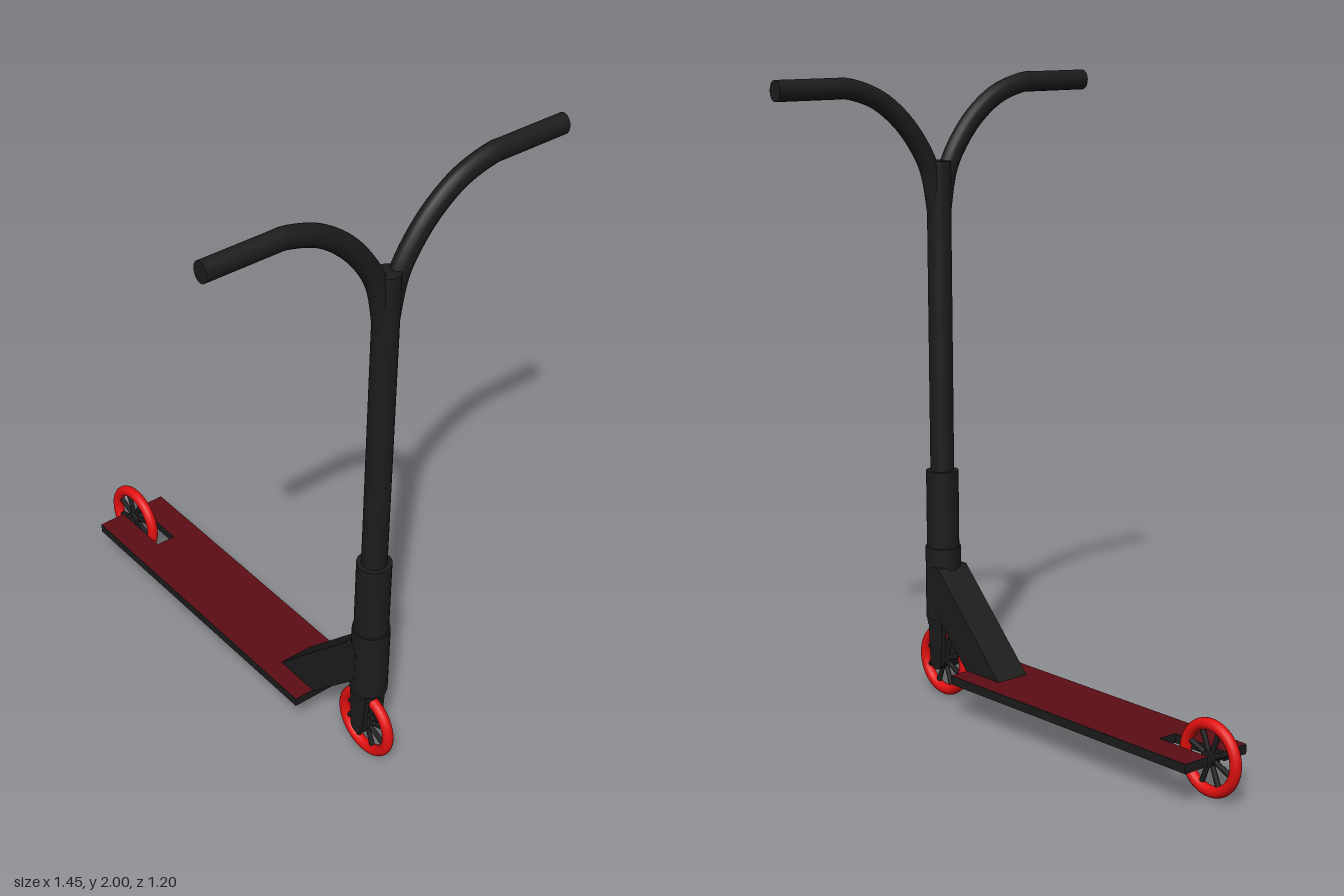
import * as THREE from 'three';

const mat = (color, side = THREE.FrontSide) => {
  const m = new THREE.MeshStandardMaterial({ side });
  m.color.set(color);
  return m;
};
const black = mat(0x1c1c1c);
const red = mat(0xe01010);
const darkRed = mat(0x5c0d13, THREE.DoubleSide);

const STEM_X = 0.61, WHEEL_X = 0.607, WHEEL_Y = 0.118;

function add(parent, name, geometry, material, x = 0, y = 0, z = 0) {
  const mesh = new THREE.Mesh(geometry, material);
  mesh.name = name;
  mesh.position.set(x, y, z);
  parent.add(mesh);
  return mesh;
}

const polygon = (points) => new THREE.Shape(points.map(([x, y]) => new THREE.Vector2(x, y)));

// Upright cylinder between two heights on the steering axis
function post(parent, name, radius, y0, y1, sides = 32) {
  return add(parent, name, new THREE.CylinderGeometry(radius, radius, y1 - y0, sides), black, STEM_X, (y0 + y1) / 2);
}

// Tyre ring, hub and eight spokes
function makeWheel(name, x) {
  const wheel = new THREE.Group();
  wheel.name = name;
  wheel.position.set(x, WHEEL_Y, 0);
  add(wheel, 'tyre', new THREE.TorusGeometry(0.1, 0.0175, 16, 48), red);
  add(wheel, 'hub', new THREE.CylinderGeometry(0.024, 0.024, 0.034, 20).rotateX(Math.PI / 2), black);
  for (let i = 0; i < 8; i++) {
    const spoke = new THREE.CylinderGeometry(0.01, 0.008, 0.08, 8).scale(1, 1, 0.8).translate(0, 0.053, 0);
    add(wheel, 'spoke', spoke, black).rotation.z = (i + 0.5) * Math.PI / 4;
  }
  return wheel;
}

export function createModel() {
  const scooter = new THREE.Group();
  scooter.name = 'scooter';

  // Deck with rear wheel slot, and a grip sheet on top
  const outline = polygon([
    [-0.63, -0.123], [0.42, -0.123], [0.42, 0.123], [-0.63, 0.123],
    [-0.63, 0.033], [-0.43, 0.033], [-0.43, -0.033], [-0.63, -0.033],
  ]);
  const deck = new THREE.ExtrudeGeometry(outline, { depth: 0.028, bevelEnabled: false }).rotateX(-Math.PI / 2);
  add(scooter, 'deck', deck, black, 0, 0.106);
  add(scooter, 'gripSheet', new THREE.ShapeGeometry(outline).rotateX(-Math.PI / 2), darkRed, 0, 0.136);

  // Sloping neck from deck to head tube
  const neck = polygon([[0.26, 0.13], [0.42, 0.13], [0.56, 0.27], [0.61, 0.32], [0.61, 0.44], [0.565, 0.44]]);
  add(scooter, 'neck', new THREE.ExtrudeGeometry(neck, { depth: 0.116, bevelEnabled: false }), black, 0, 0, -0.058);

  // Steering column
  post(scooter, 'headTube', 0.057, 0.265, 0.5);
  post(scooter, 'clamp', 0.052, 0.48, 0.75);
  post(scooter, 'steeringBar', 0.038, 0.74, 1.735);

  // Fork crown and two tapered legs with rounded ends
  add(scooter, 'forkCrown', new THREE.BoxGeometry(0.07, 0.03, 0.08), black, STEM_X, 0.253);
  const legShape = new THREE.Shape();
  legShape.moveTo(-0.036, 0.15);
  legShape.lineTo(-0.027, 0);
  legShape.absarc(0, 0, 0.027, Math.PI, 2 * Math.PI, false);
  legShape.lineTo(0.036, 0.15);
  for (const side of [-1, 1]) {
    const leg = new THREE.ExtrudeGeometry(legShape, { depth: 0.018, bevelEnabled: false, curveSegments: 12 });
    leg.translate(0, 0, -0.009);
    add(scooter, 'forkLeg', leg, black, WHEEL_X, WHEEL_Y, side * 0.03);
  }

  // Handlebar arms sweep out of the bar into straight grips
  const handlebar = new THREE.Group();
  handlebar.name = 'handlebar';
  handlebar.position.x = STEM_X;
  handlebar.scale.x = 0.84;
  scooter.add(handlebar);
  for (const side of [-1, 1]) {
    const path = new THREE.CatmullRomCurve3([
      [0.004, 1.54], [0.037, 1.71], [0.08, 1.79], [0.148, 1.87], [0.24, 1.935], [0.35, 1.968], [0.38, 1.968],
    ].map(([z, y]) => new THREE.Vector3(0, y, side * z)));
    add(handlebar, 'handlebarArm', new THREE.TubeGeometry(path, 28, 0.032, 16), black);
    const grip = new THREE.CylinderGeometry(0.032, 0.032, 0.24, 16).rotateX(Math.PI / 2);
    add(handlebar, 'grip', grip, black, 0, 1.968, side * 0.48);
  }

  scooter.add(makeWheel('rearWheel', -WHEEL_X), makeWheel('frontWheel', WHEEL_X));
  return scooter;
}
